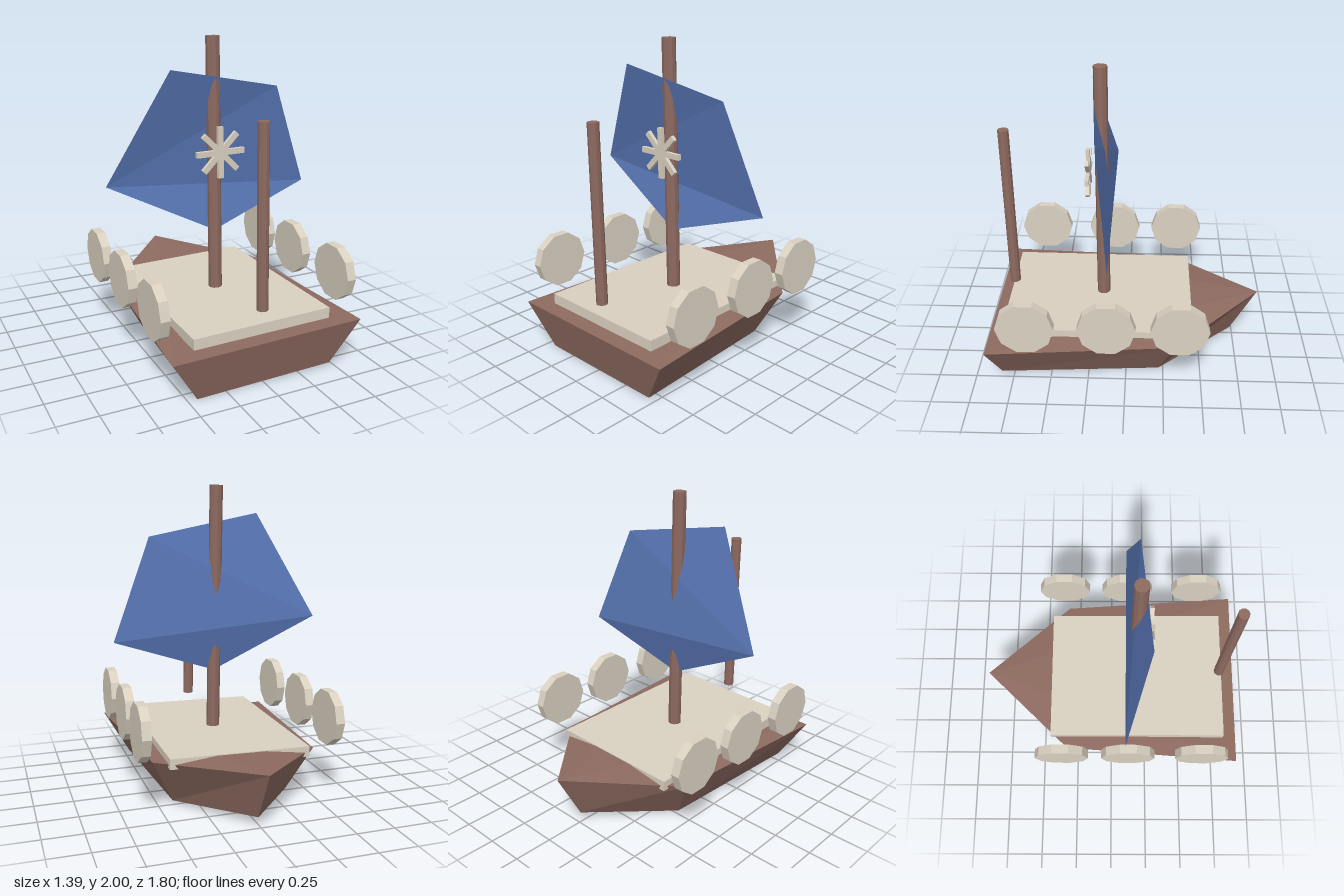
import * as THREE from 'three';

const mat = (name, color) => {
  const m = new THREE.MeshStandardMaterial({ color, flatShading: true });
  m.name = name;
  return m;
};

// Flat-faced geometry from points and triangle indices
function facets(points, index) {
  const g = new THREE.BufferGeometry();
  g.setAttribute('position', new THREE.Float32BufferAttribute(points.flat(), 3));
  g.setIndex(index);
  const flat = g.toNonIndexed();
  flat.computeVertexNormals();
  return flat;
}

export function createModel() {
  const wood = mat('brown wood', 0x8d6a60);
  const pale = mat('pale wood', 0xd9d0c0);
  const cloth = mat('blue cloth', 0x5876b5);
  cloth.side = THREE.DoubleSide;

  const boat = new THREE.Group();
  boat.name = 'sailingBoat';
  const LEAN = 0.017; // the whole boat lists slightly

  function add(name, geometry, material, x = 0, y = 0, z = 0, parent = boat) {
    const mesh = new THREE.Mesh(geometry, material);
    mesh.name = name;
    mesh.position.set(x, y, z);
    parent.add(mesh);
    return mesh;
  }

  // Hull: gunwale and keel rings, both fanned from the bow
  const rim = [[-0.62, 0.285, 0.9], [0.64, 0.31, 0.9], [0.55, 0.32, -0.32], [0.01, 0.38, -0.9], [-0.53, 0.30, -0.32]];
  const keel = [[-0.44, 0, 0.83], [0.47, 0.02, 0.83], [0.40, 0.015, -0.22], [0.01, 0.06, -0.73], [-0.38, 0, -0.22]];
  const index = [3, 4, 0, 3, 0, 1, 3, 1, 2, 8, 5, 9, 8, 6, 5, 8, 7, 6];
  for (let i = 0; i < 5; i++) {
    const j = (i + 1) % 5;
    index.push(5 + i, 5 + j, j, 5 + i, j, i);
  }
  add('hull', facets([...rim, ...keel], index), wood);

  // Deck slab
  const deck = add('deck', new THREE.BoxGeometry(0.92, 0.068, 1.245), pale, 0.01, 0.336, 0.185);
  deck.rotation.set(-0.01, 0, LEAN);

  // Masts
  const mast = (name, r, bottom, top, x, z) => {
    const m = add(name, new THREE.CylinderGeometry(r, r, top - bottom, 10), wood, x, (top + bottom) / 2, z);
    m.rotation.z = LEAN;
  };
  mast('mainMast', 0.044, 0.35, 2, -0.007, 0.165);
  mast('sternMast', 0.036, 0.45, 1.58, 0, 0.78);

  // Folded five-cornered sail
  add('sail', facets(
    [[-0.7, 1.11, 0.088], [0, 0.76, 0.165], [0.695, 1.0, 0.1], [0.435, 1.67, 0.175], [-0.33, 1.815, 0.235]],
    [0, 1, 2, 0, 2, 3, 0, 3, 4]), cloth);

  // Eight-armed star in front of the sail
  const star = new THREE.Group();
  star.name = 'sailStar';
  star.position.set(-0.007, 1.292, 0.252);
  boat.add(star);
  for (let i = 0; i < 4; i++) {
    const bar = add('starBar', new THREE.BoxGeometry(0.325, 0.036, 0.025), pale, 0, 0, 0, star);
    bar.rotation.z = LEAN + i * Math.PI / 4;
  }

  // Round shields along both sides
  for (const side of [-1, 1]) {
    for (const z of [0.625, 0.115, -0.345]) {
      const shield = add(side > 0 ? 'leftShield' : 'rightShield',
        new THREE.CylinderGeometry(0.184, 0.184, 0.06, 10), pale,
        side * 0.624 + 0.004, 0.523 + side * 0.01, z);
      shield.rotation.z = Math.PI / 2 + LEAN;
    }
  }
  return boat;
}
